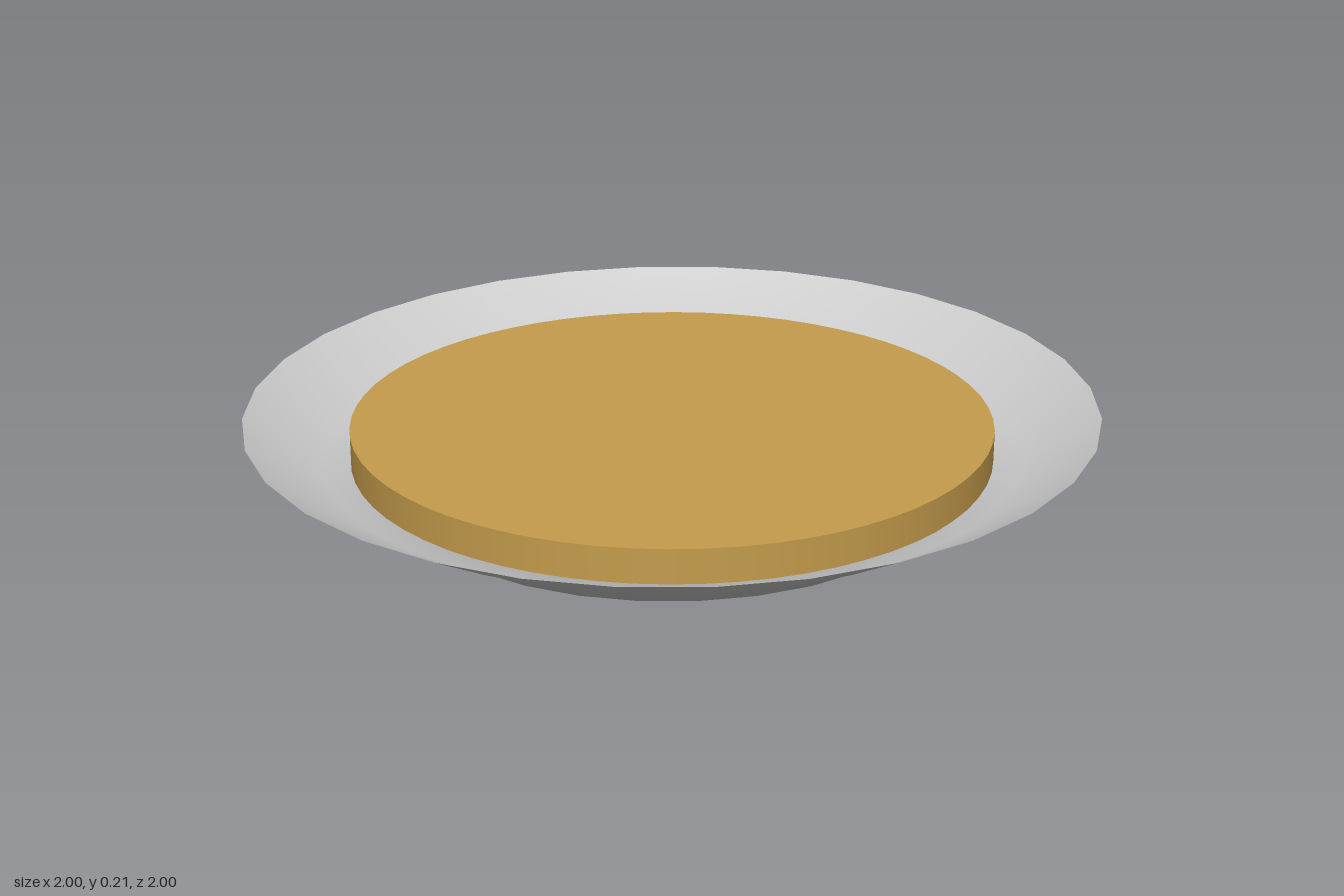
import * as THREE from 'three';

export function createModel() {
  const group = new THREE.Group();
  const silver = new THREE.MeshStandardMaterial({ color: 0xcccccc, side: THREE.DoubleSide });
  silver.name = 'silver';
  const gold = new THREE.MeshStandardMaterial({ color: 0xc49c4c });
  gold.name = 'gold';

  // Thin dish: closed foot, shallow shelf and flared rim, turned as one smooth shell
  const profile = [[0, 0], [0.66, 0], [0.66, 0.062], [0.82, 0.093], [1, 0.196]]
    .map(([r, y]) => new THREE.Vector2(r, y));
  const dish = new THREE.Mesh(new THREE.LatheGeometry(profile, 32), silver);
  dish.name = 'dish';
  // The dish leans slightly, higher towards the back and its left
  dish.rotation.set(0.008, 0, 0.008);
  dish.position.y = 0.0075;
  group.add(dish);

  // Level disc resting in the dish
  const bottom = 0.086, top = 0.167;
  const disc = new THREE.Mesh(new THREE.CylinderGeometry(0.755, 0.755, top - bottom, 64), gold);
  disc.name = 'disc';
  disc.position.y = (bottom + top) / 2;
  group.add(disc);

  return group;
}
